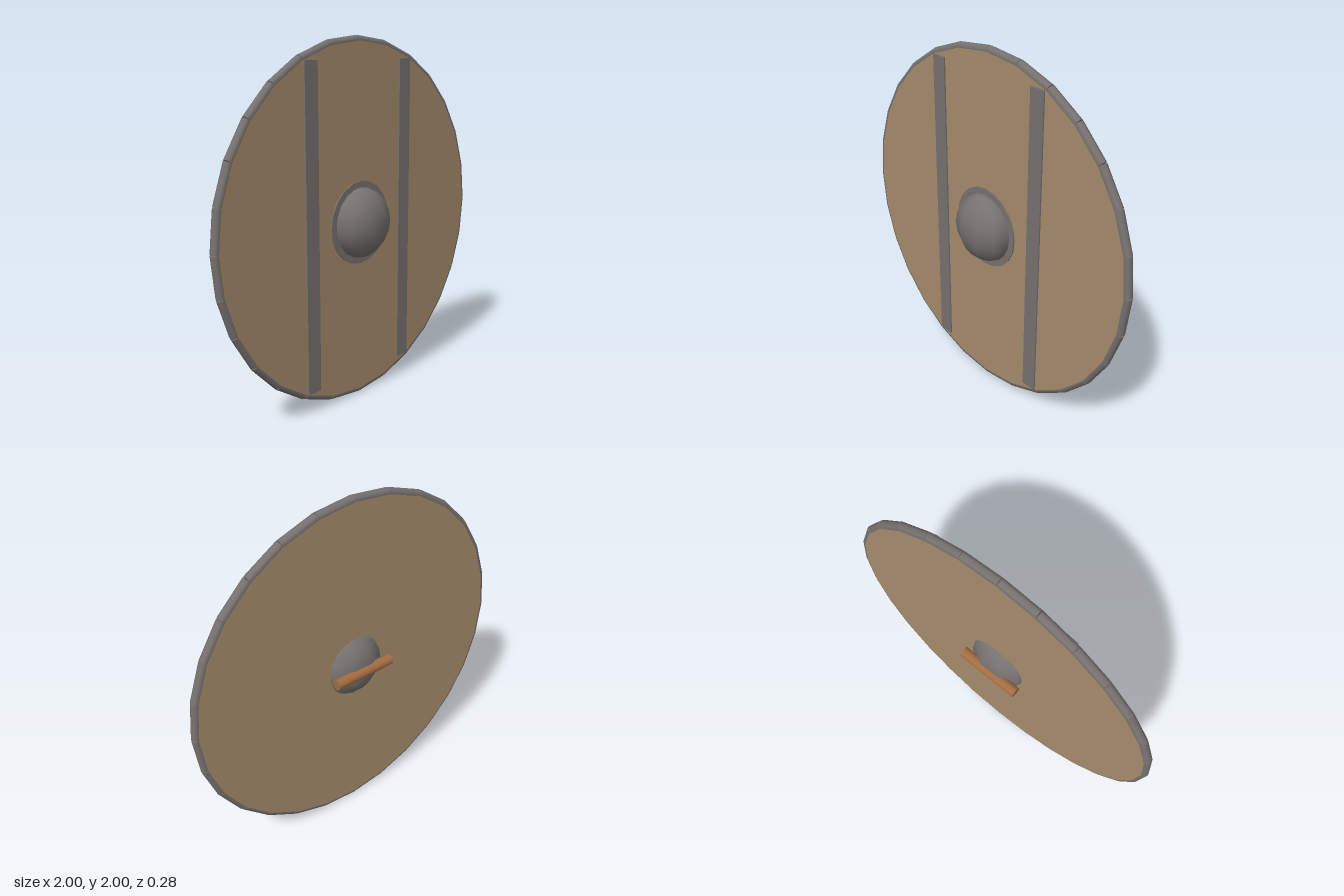
import * as THREE from 'three';

const wood = new THREE.MeshStandardMaterial({ color: 0xa58b6c });
wood.name = 'wood';
const iron = new THREE.MeshStandardMaterial({ color: 0x777270 });
iron.name = 'iron';
const gripWood = new THREE.MeshStandardMaterial({ color: 0xa36d42 });
gripWood.name = 'grip wood';

const SIDES = 28;
const RING = 0.974;          // radius of the board and of the rim's centre line
const RIM = 0.026;           // rim tube radius, also half the board thickness
const BOARD_Z = -0.016;

export function createModel() {
  const model = new THREE.Group();
  model.name = 'roundShield';

  const add = (parent, name, geometry, material, x, y, z) => {
    const mesh = new THREE.Mesh(geometry, material);
    mesh.name = name;
    mesh.position.set(x, y, z);
    parent.add(mesh);
    return mesh;
  };

  // Flat round board, slightly thinner than the rim
  const boardGeo = new THREE.CylinderGeometry(RING, RING, RIM * 2 - 0.002, SIDES);
  boardGeo.rotateX(Math.PI / 2);
  add(model, 'board', boardGeo, wood, 0, 1, BOARD_Z);

  // Rim of separate straight rods, one per board side
  const rim = new THREE.Group();
  rim.name = 'rim';
  model.add(rim);
  const step = (Math.PI * 2) / SIDES;
  const rodGeo = new THREE.CylinderGeometry(RIM, RIM, 2 * RING * Math.sin(step / 2), 8);
  const mid = RING * Math.cos(step / 2);
  for (let i = 0; i < SIDES; i++) {
    const a = (i + 0.5) * step;
    const rod = add(rim, 'rimRod', rodGeo, iron, mid * Math.cos(a), 1 + mid * Math.sin(a), BOARD_Z);
    rod.rotation.z = a;
  }

  // Two upright iron straps on the front
  for (const side of [-1, 1]) {
    const name = side > 0 ? 'leftStrap' : 'rightStrap';
    add(model, name, new THREE.BoxGeometry(0.091, 1.752, 0.02), iron, side * 0.369, 1, 0.007);
  }

  // Flange around the boss
  const flangeGeo = new THREE.CylinderGeometry(0.23, 0.23, 0.02, 20);
  flangeGeo.rotateX(Math.PI / 2);
  add(model, 'bossFlange', flangeGeo, iron, 0, 1, 0.006);

  // Flattened boss, showing on both faces
  const bossGeo = new THREE.SphereGeometry(0.195, 10, 10);
  bossGeo.scale(1, 1, 0.7);
  add(model, 'boss', bossGeo, iron, 0, 1, 0.012);

  // Grip across the back of the boss
  const gripGeo = new THREE.CylinderGeometry(0.031, 0.031, 0.37, 12);
  gripGeo.rotateZ(Math.PI / 2);
  add(model, 'grip', gripGeo, gripWood, 0, 1, -0.112);

  return model;
}
